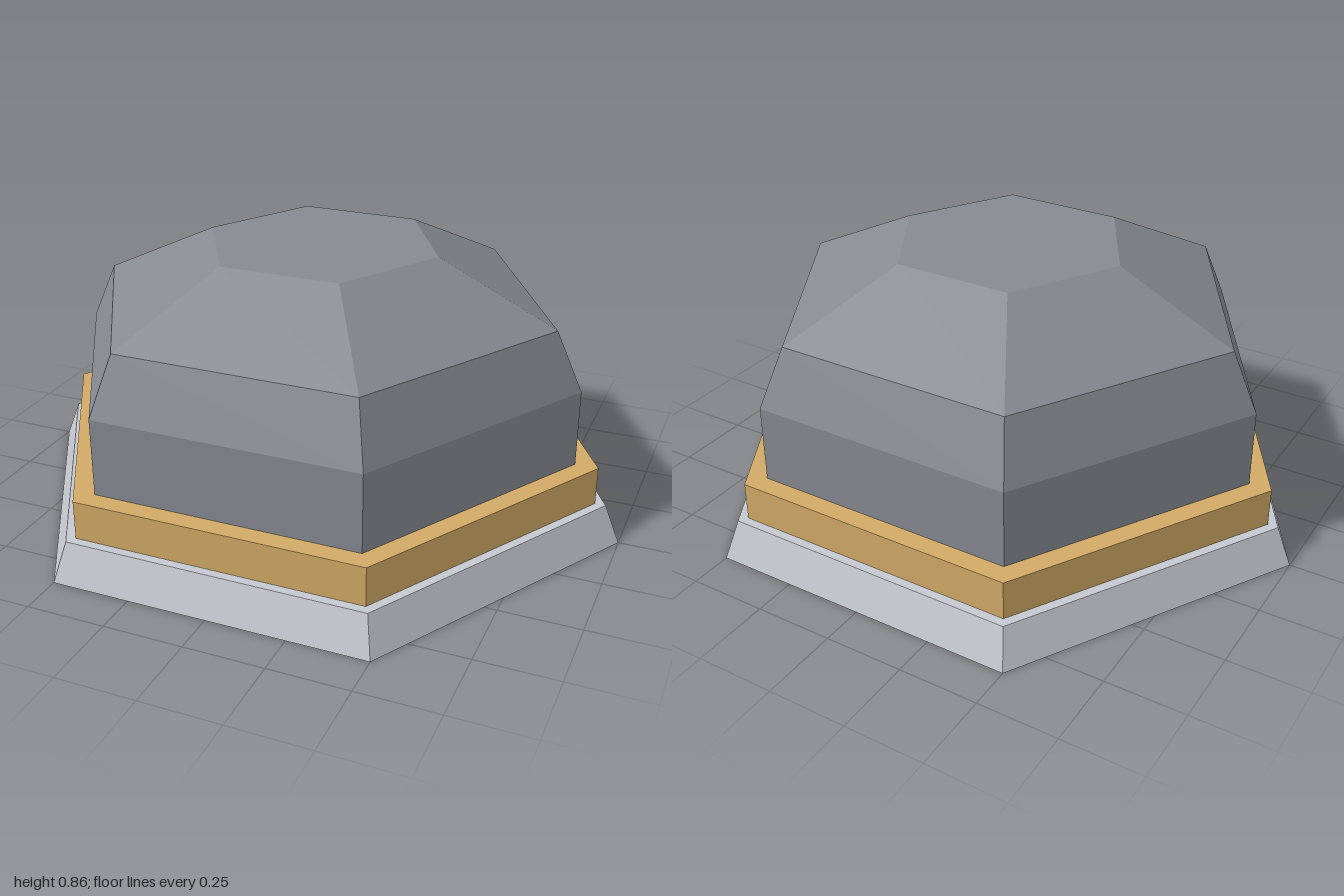
import * as THREE from 'three';

const baseGrey = new THREE.MeshStandardMaterial({ color: 0xc6c8d0 });
baseGrey.name = 'paleGrey';
const gold = new THREE.MeshStandardMaterial({ color: 0xd2aa66 });
gold.name = 'gold';
const slate = new THREE.MeshStandardMaterial({ color: 0x858a91 });
slate.name = 'slateGrey';

// Six-sided solid from a [radius, height] profile, with corners on the x axis
function hexSolid(name, profile, material) {
  const points = profile.map(([r, y]) => new THREE.Vector2(r, y));
  const geometry = new THREE.LatheGeometry(points, 6, Math.PI / 2).toNonIndexed();
  geometry.computeVertexNormals(); // flat facets
  const mesh = new THREE.Mesh(geometry, material);
  mesh.name = name;
  return mesh;
}

export function createModel() {
  const model = new THREE.Group();
  model.name = 'hexagonalDome';

  // Sloped foot
  model.add(hexSolid('base', [[0, 0], [1, 0], [0.95, 0.122], [0, 0.122]], baseGrey));

  // Straight middle band
  model.add(hexSolid('band', [[0, 0.122], [0.917, 0.122], [0.917, 0.245], [0, 0.245]], gold));

  // Faceted cap: upright wall, steep shoulder, shallow roof, flat top
  model.add(hexSolid('dome', [
    [0, 0.245], [0.845, 0.245], [0.845, 0.49], [0.76, 0.675], [0.381, 0.857], [0, 0.857],
  ], slate));

  return model;
}
